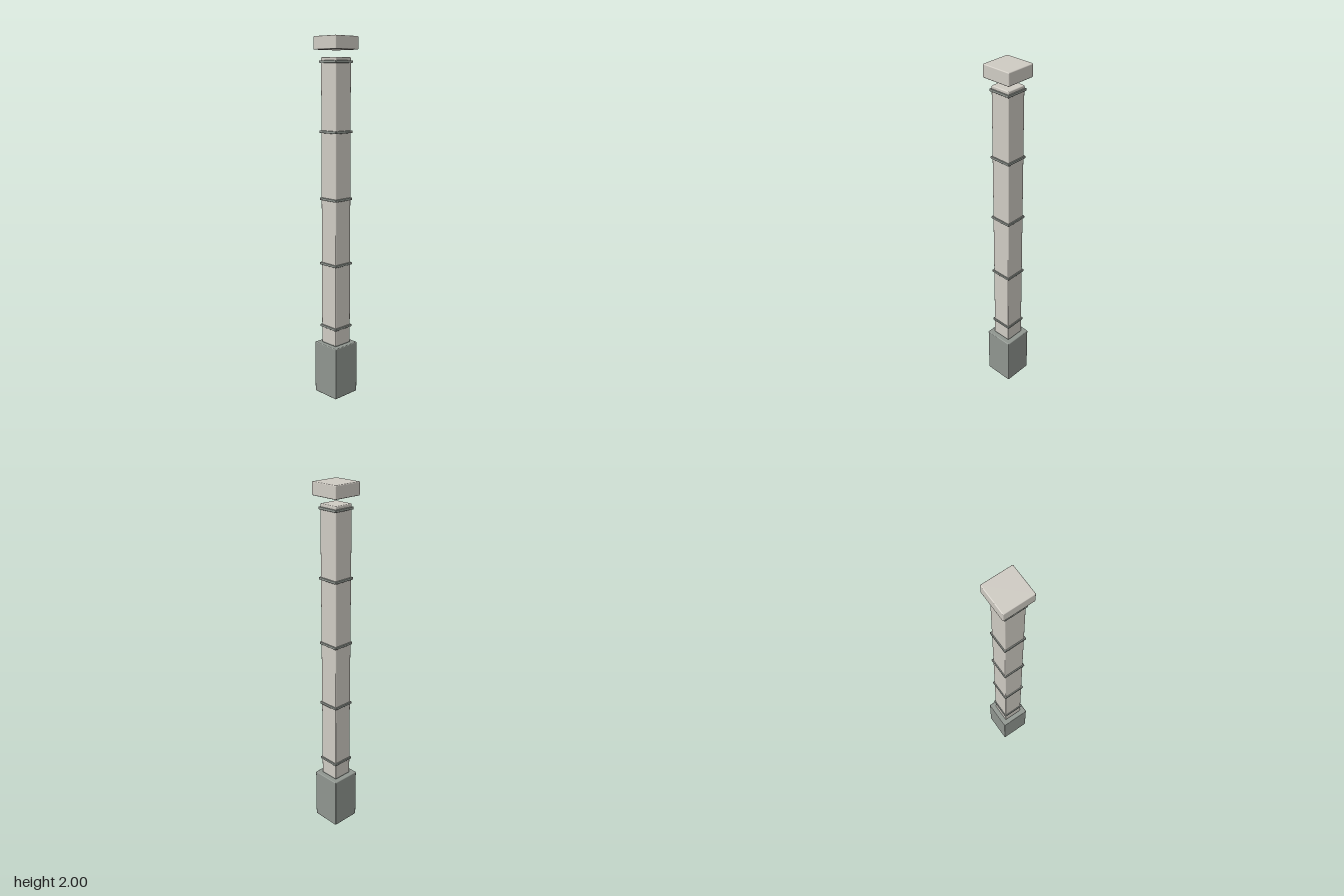
import * as THREE from 'three';
import { RoundedBoxGeometry } from 'three/addons/geometries/RoundedBoxGeometry.js';

const paleStone = new THREE.MeshStandardMaterial({ color: 0xd0ccc4 });
const darkStone = new THREE.MeshStandardMaterial({ color: 0x909690 });

// Square block with softened edges, spanning the heights bottom to top
function block(name, width, bottom, top, radius, material) {
  const height = top - bottom;
  const mesh = new THREE.Mesh(new RoundedBoxGeometry(width, height, width, 2, radius), material);
  mesh.position.y = bottom + height / 2;
  mesh.name = name;
  return mesh;
}

export function createModel() {
  const pillar = new THREE.Group();
  pillar.name = 'pillar';

  // Heavy base with a thin joint under the shaft
  pillar.add(block('base', 0.17, 0, 0.302, 0.005, darkStone));
  pillar.add(block('baseJoint', 0.112, 0.295, 0.315, 0.002, darkStone));

  // Tall shaft and the cap held just above it
  pillar.add(block('shaft', 0.114, 0.305, 1.892, 0.005, paleStone));
  pillar.add(block('cap', 0.17, 1.931, 2, 0.005, paleStone));

  // Evenly spaced bands around the shaft
  for (let i = 0; i < 5; i++) {
    const y = 0.403 + i * 0.3665;
    pillar.add(block(`band${i + 1}`, 0.127, y - 0.007, y + 0.007, 0.003, darkStone));
  }
  return pillar;
}
